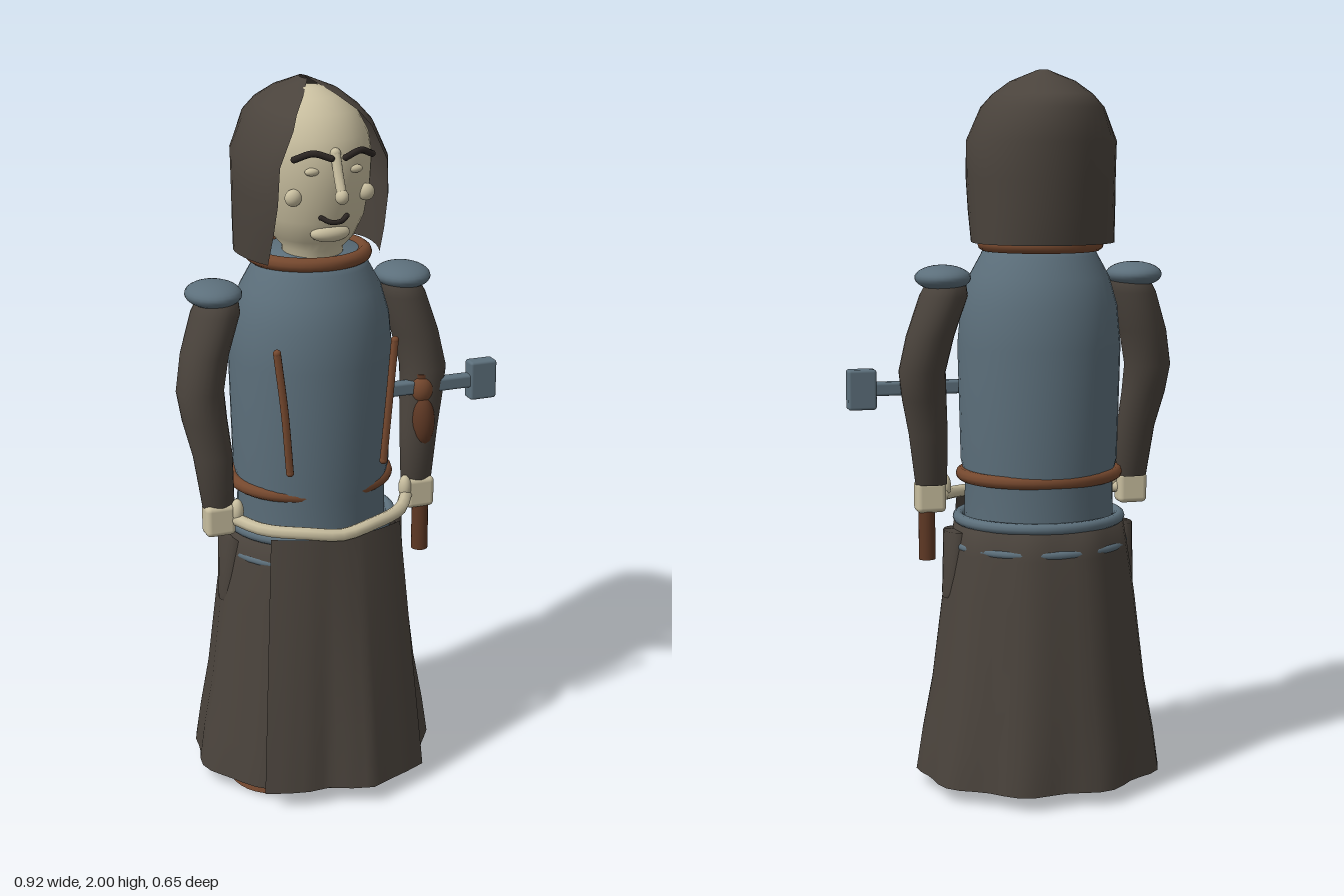
import * as THREE from 'three';
import { mergeVertices } from 'three/addons/utils/BufferGeometryUtils.js';
import { RoundedBoxGeometry } from 'three/addons/geometries/RoundedBoxGeometry.js';

const mat = (name, color, side = THREE.FrontSide) => {
  const m = new THREE.MeshStandardMaterial({ color, side });
  m.name = name;
  return m;
};
const V = (p) => new THREE.Vector3(...p);

// surface through rows of points; point(row, t) with t from 0 to 1
function loft(rows, seg, point) {
  const pos = [], idx = [], n = seg + 1;
  rows.forEach((r) => {
    for (let j = 0; j <= seg; j++) pos.push(...point(r, j / seg));
  });
  for (let i = 0; i < rows.length - 1; i++) {
    for (let j = 0; j < seg; j++) {
      const a = i * n + j, d = a + n;
      idx.push(a, a + 1, d + 1, a, d + 1, d);
    }
  }
  let g = new THREE.BufferGeometry();
  g.setAttribute('position', new THREE.Float32BufferAttribute(pos, 3));
  g.setIndex(idx);
  g = mergeVertices(g, 1e-5);
  g.computeVertexNormals();
  return g;
}
// rows [x, y, z, rx, rz], bottom to top
const rings = (rows, seg = 24) => loft(rows, seg, ([x, y, z, rx, rz], t) => {
  const a = t * Math.PI * 2;
  return [x + rx * Math.sin(a), y, z + rz * Math.cos(a)];
});

export function createModel() {
  const robe = mat('robe cloth', 0x4a433c, THREE.DoubleSide);
  const steel = mat('blue steel', 0x5c6f7b);
  const skin = mat('pale skin', 0xc8be9f);
  const leather = mat('leather', 0x75482e);
  const wood = mat('dark wood', 0x5e3824);
  const hair = mat('dark hair', 0x2c2623);

  const model = new THREE.Group();
  model.name = 'hoodedWarrior';
  const body = new THREE.Group();
  body.name = 'figure';
  body.position.x = -0.067;
  model.add(body);

  const add = (name, geo, material, p = [0, 0, 0], s = [1, 1, 1]) => {
    const m = new THREE.Mesh(geo, material);
    m.name = name;
    m.position.set(...p);
    m.scale.set(...s);
    body.add(m);
    return m;
  };
  const ball = (name, material, p, r) => add(name, new THREE.SphereGeometry(1, 24, 16), material, p, r);
  const tube = (name, material, pts, r) => {
    add(name, new THREE.TubeGeometry(new THREE.CatmullRomCurve3(pts.map(V)), 20, r, 8), material);
    [pts[0], pts[pts.length - 1]].forEach((p) => ball(name + 'End', material, p, [r, r, r]));
  };
  const hoop = (name, material, y, z, rx, rz, r) => {
    const g = new THREE.TorusGeometry(rx, r, 10, 40);
    g.rotateX(Math.PI / 2);
    add(name, g, material, [0, y, z], [1, 1, rz / rx]);
  };

  // torso armour
  const torso = [[0.66, 0.2], [0.78, 0.21], [0.88, 0.208], [0.93, 0.22], [1.25, 0.228], [1.36, 0.218],
    [1.44, 0.195], [1.5, 0.162], [1.54, 0.145], [1.55, 0]];
  add('breastplate', rings(torso.map(([y, r]) => [0, y, -0.02, r, r * 0.97]), 40), steel);
  hoop('leatherBelt', leather, 0.89, -0.025, 0.218, 0.19, 0.018);
  hoop('collar', leather, 1.53, -0.035, 0.155, 0.155, 0.02);
  hoop('waistRing', steel, 0.765, -0.022, 0.228, 0.21, 0.016);
  hoop('hipRing', steel, 0.695, -0.025, 0.239, 0.222, 0.012);

  // robe skirt with soft folds, wider at the hem
  const skirtRows = [[0.04, 0.345, 0.298, 0.014], [0.15, 0.33, 0.29, 0.01], [0.3, 0.302, 0.276, 0.007],
    [0.55, 0.272, 0.25, 0.004], [0.68, 0.252, 0.233, 0.004], [0.75, 0.24, 0.222, 0.004], [0.76, 0.2, 0.19, 0]];
  add('skirt', loft(skirtRows, 48, ([y, rx, rz, w], t) => {
    const a = t * Math.PI * 2, f = w * Math.cos(9 * a) * (0.3 + 0.35 * (1 - Math.cos(a)));
    return [(rx + f) * Math.sin(a), y, -0.025 + (rz + f) * Math.cos(a)];
  }), robe);

  // front panel hanging from the waist
  const hemZ = [0.25, 0.272, 0.285, 0.283, 0.31, 0.325, 0.3, 0.277, 0.25];
  const panelRows = [0, 0.25, 0.5, 0.75, 1];
  add('frontPanel', loft(panelRows, 24, (k, t) => {
    const u = t * 2 - 1, i = Math.min(7, Math.floor(t * 8)), f = t * 8 - i;
    const low = THREE.MathUtils.lerp(hemZ[i], hemZ[i + 1], f);
    const high = 0.18 + 0.052 * (1 - u * u);
    return [u * THREE.MathUtils.lerp(0.24, 0.19, k), 0.05 + 0.74 * k, THREE.MathUtils.lerp(low, high, k)];
  }), robe);

  // pale sash across the front
  tube('sash', skin, [[-0.26, 0.82, 0.06], [-0.2, 0.81, 0.15], [-0.09, 0.805, 0.21], [0, 0.795, 0.227],
    [0.09, 0.805, 0.21], [0.2, 0.81, 0.15], [0.26, 0.82, 0.06]], 0.018);

  // head
  const head = [[1.5, 0.08], [1.56, 0.082], [1.59, 0.11], [1.65, 0.137], [1.74, 0.152], [1.81, 0.156],
    [1.87, 0.147], [1.93, 0.115], [1.965, 0.073], [1.985, 0.03], [1.99, 0]];
  add('head', rings(head.map(([y, r]) => [0, y, 0, r, r * 1.15]), 32), skin);
  tube('nose', skin, [[0, 1.84, 0.175], [0, 1.78, 0.2], [0, 1.735, 0.225]], 0.014);
  ball('noseTip', skin, [0, 1.735, 0.222], [0.018, 0.02, 0.02]);
  ball('lips', skin, [0, 1.62, 0.135], [0.055, 0.024, 0.028]);
  tube('moustache', hair, [[-0.036, 1.67, 0.165], [-0.015, 1.66, 0.178], [0.015, 1.66, 0.178], [0.036, 1.67, 0.165]], 0.007);

  // hood rows: height, half width, back z, front edge z, front edge half width
  const hoodRows = [[1.535, 0.195, -0.245, 0.09, 0.158], [1.62, 0.198, -0.26, 0.13, 0.156],
    [1.71, 0.2, -0.272, 0.16, 0.153], [1.81, 0.2, -0.285, 0.165, 0.148], [1.9, 0.16, -0.287, 0.157, 0.108],
    [1.935, 0.13, -0.25, 0.12, 0.085], [1.97, 0.085, -0.18, 0.06, 0.045], [2.0, 0.012, -0.09, -0.025, 0.002]];
  add('hood', loft(hoodRows, 32, ([y, rx, zb, zf, ex], t) => {
    const a0 = Math.asin(ex / rx), a = a0 + t * 2 * (Math.PI - a0), c = Math.cos(a);
    const mid = zb * 0.5 + zf * 0.5 + 0.01;
    return [rx * Math.sin(a), y, mid + c * (c > 0 ? (zf - mid) / Math.cos(a0) : mid - zb)];
  }), robe);

  // paired parts
  for (const s of [-1, 1]) {
    const side = s > 0 ? 'left' : 'right';
    const armRows = [[0.295, 0.85, 0.045, 0, 0], [0.295, 0.855, 0.045, 0.045, 0.034], [0.305, 1.0, 0.035, 0.055, 0.045],
      [0.32, 1.1, 0.015, 0.062, 0.058], [0.328, 1.18, 0.005, 0.065, 0.07], [0.308, 1.28, -0.01, 0.066, 0.075],
      [0.272, 1.39, -0.02, 0.066, 0.08], [0.262, 1.44, -0.02, 0.05, 0.06], [0.262, 1.45, -0.02, 0, 0]];
    add(side + 'Sleeve', rings(armRows.map(([x, ...r]) => [s * x, ...r])), robe);
    ball(side + 'ShoulderPad', steel, [s * 0.275, 1.44, -0.025], [0.077, 0.035, 0.09]);
    add(side + 'Hand', new RoundedBoxGeometry(0.085, 0.09, 0.06, 3, 0.015), skin, [s * 0.297, 0.82, 0.052]);
    ball(side + 'Thumb', skin, [s * 0.25, 0.842, 0.072], [0.018, 0.036, 0.02]);
    tube(side + 'ChestStrap', leather, [[s * 0.168, 1.32, 0.183], [s * 0.15, 1.15, 0.19], [s * 0.136, 0.98, 0.187]], 0.011);
    // face halves
    tube(side + 'Eyebrow', hair, [[s * 0.108, 1.828, 0.16], [s * 0.065, 1.845, 0.185], [s * 0.02, 1.832, 0.198]], 0.009);
    ball(side + 'Eye', skin, [s * 0.06, 1.793, 0.163], [0.02, 0.011, 0.012]);
    ball(side + 'Cheek', skin, [s * 0.102, 1.722, 0.135], [0.023, 0.023, 0.018]);
    // hip flap and boot
    const flap = [[s * 0.245, 0.545, -0.02, 0.034, 0.036], [s * 0.245, 0.56, -0.02, 0.034, 0.045],
      [s * 0.238, 0.735, -0.02, 0.036, 0.055], [s * 0.238, 0.736, -0.02, 0, 0]];
    add(side + 'HipFlap', rings(flap, 16), robe);
    const boot = new THREE.CylinderGeometry(0.85, 1, 0.1, 28);
    add(side + 'Boot', boot, leather, [s * 0.174, 0.05, 0.042], [0.098, 1, 0.133]);
  }

  // war hammer in the left hand
  const hx = 0.307, hz = 0.05;
  add('hammerHandle', new THREE.CylinderGeometry(0.022, 0.024, 0.53, 16), wood, [hx, 0.905, hz]);
  ball('hammerGrip', wood, [hx, 1.03, hz + 0.01], [0.034, 0.075, 0.034]);
  ball('hammerBinding', leather, [hx, 1.125, hz], [0.033, 0.045, 0.033]);
  add('hammerBar', new RoundedBoxGeometry(0.27, 0.038, 0.036, 2, 0.008), steel, [0.33, 1.13, 0.045]);
  add('hammerHead', new RoundedBoxGeometry(0.08, 0.112, 0.046, 2, 0.008), steel, [0.491, 1.13, 0.045]);

  return model;
}
